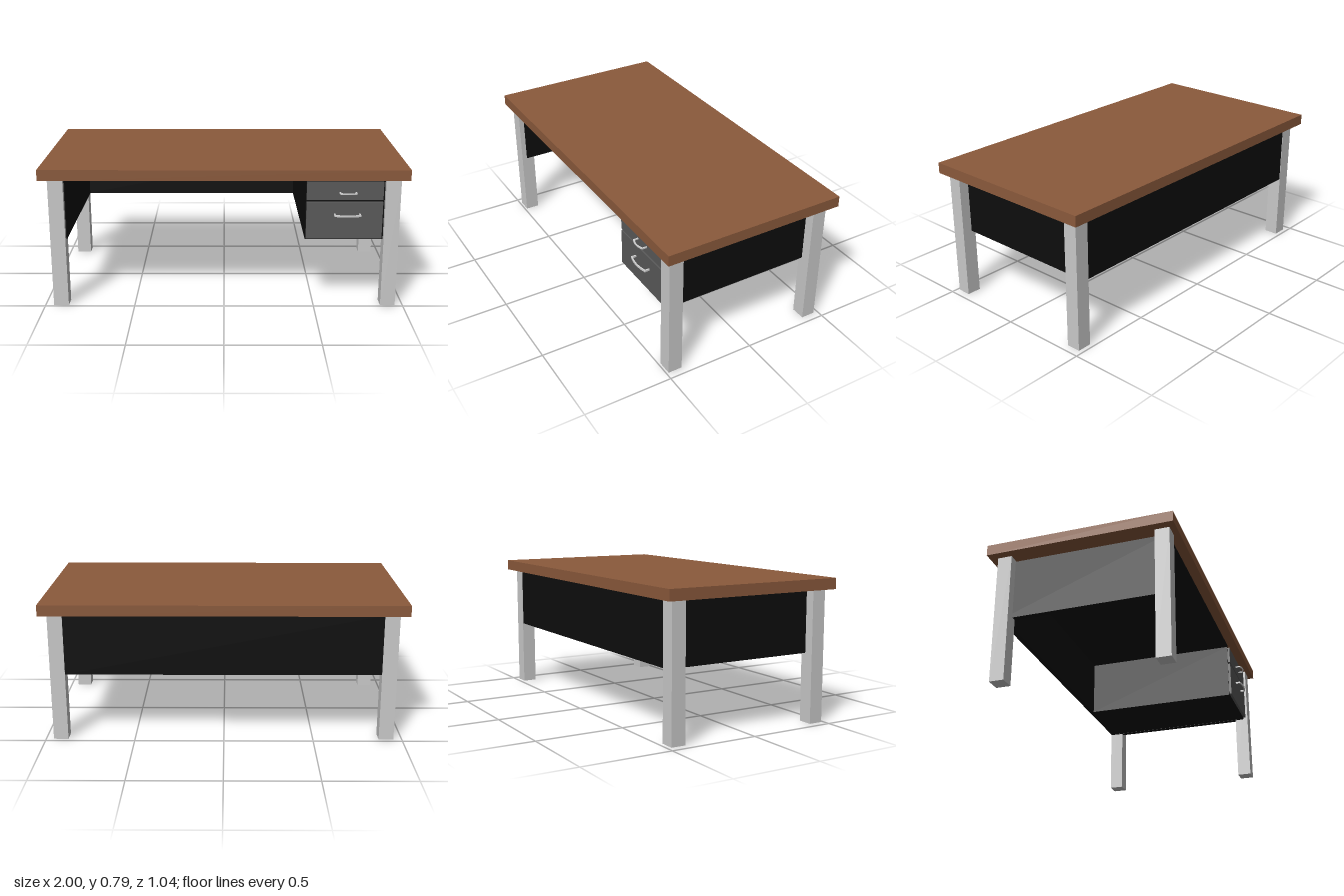
import * as THREE from 'three';

const mat = (name, color) => {
  const m = new THREE.MeshStandardMaterial({ color });
  m.name = name;
  return m;
};

export function createModel() {
  const desk = new THREE.Group();
  desk.name = 'desk';
  const wood = mat('brown wood', 0x8b5a3c);
  const steel = mat('light grey', 0xcacaca);
  const black = mat('black panel', 0x0d0d0d);
  const grey = mat('drawer grey', 0x5a5a5a);
  const metal = mat('handle metal', 0xd0d0d0);

  // Box from its minimum and maximum corners
  const box = (name, material, [x0, y0, z0], [x1, y1, z1], parent = desk) => {
    const mesh = new THREE.Mesh(new THREE.BoxGeometry(x1 - x0, y1 - y0, z1 - z0), material);
    mesh.position.set((x0 + x1) / 2, (y0 + y1) / 2, (z0 + z1) / 2);
    mesh.name = name;
    parent.add(mesh);
    return mesh;
  };

  box('tabletop', wood, [-1, 0.73, -0.52], [1, 0.79, 0.52]);

  // Legs, and the side panels set between them
  for (const s of [-1, 1]) {
    const side = s > 0 ? 'left' : 'right';
    const lo = s > 0 ? 0.875 : -0.953;
    const hi = s > 0 ? 0.957 : -0.87;
    box(side + 'FrontLeg', steel, [lo, 0, 0.407], [hi, 0.73, 0.487]);
    box(side + 'BackLeg', steel, [lo, 0, -0.475], [hi, 0.73, -0.395]);
    box(side + 'SidePanel', black,
      [s > 0 ? 0.867 : -0.9, 0.382, -0.46], [s > 0 ? 0.9 : -0.865, 0.725, 0.457]);
  }

  // Back panel and the dark plate under the top
  box('backPanel', black, [-0.88, 0.383, -0.472], [0.88, 0.725, -0.445]);
  box('undersidePlate', black, [-0.86, 0.718, -0.46], [0.445, 0.7295, 0.465]);

  // Drawer pedestal
  const pedestal = new THREE.Group();
  pedestal.name = 'drawerPedestal';
  desk.add(pedestal);
  box('cabinet', black, [0.445, 0.383, -0.45], [0.872, 0.72, 0.462], pedestal);

  // Bowed pull: a flat bracket outline extruded upwards
  const handle = (name, x, y, width, thickness) => {
    const w = width / 2, t = 0.008;
    const shape = new THREE.Shape();
    shape.moveTo(-w, 0);
    shape.lineTo(-w, 0.03);
    shape.quadraticCurveTo(0, 0.052, w, 0.03);
    shape.lineTo(w, 0);
    shape.lineTo(w - t, 0);
    shape.lineTo(w - t, 0.024);
    shape.quadraticCurveTo(0, 0.044, -w + t, 0.024);
    shape.lineTo(-w + t, 0);
    const geo = new THREE.ExtrudeGeometry(shape,
      { depth: thickness, bevelEnabled: false, curveSegments: 10 });
    geo.rotateX(Math.PI / 2);
    const mesh = new THREE.Mesh(geo, metal);
    mesh.position.set(x, y + thickness / 2, 0.474);
    mesh.name = name;
    pedestal.add(mesh);
  };

  box('upperDrawerFront', grey, [0.449, 0.611, 0.455], [0.865, 0.712, 0.476], pedestal);
  box('lowerDrawerFront', grey, [0.449, 0.391, 0.455], [0.865, 0.599, 0.476], pedestal);
  handle('upperHandle', 0.672, 0.654, 0.095, 0.007);
  handle('lowerHandle', 0.672, 0.529, 0.145, 0.01);

  return desk;
}
